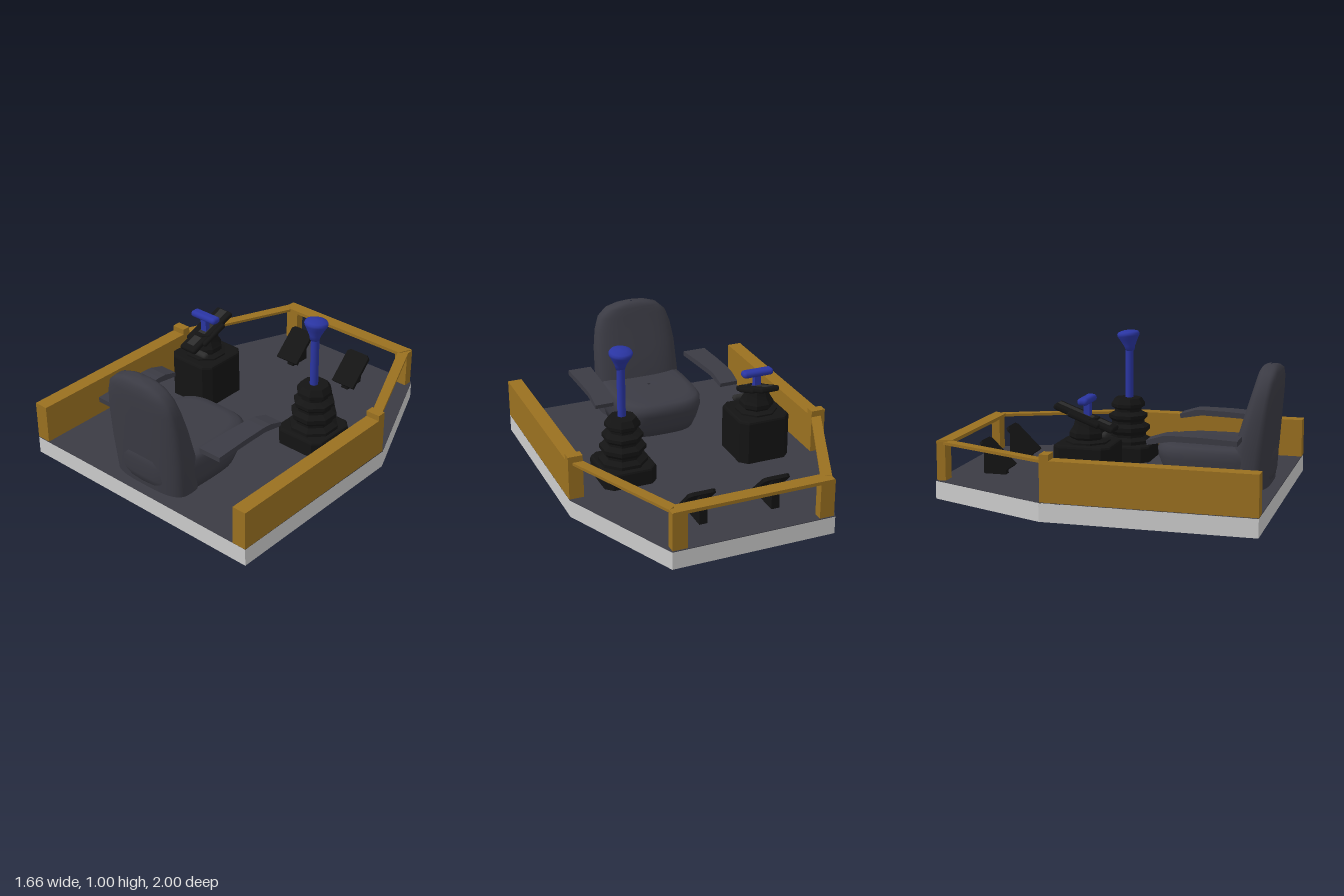
import * as THREE from 'three';
import { RoundedBoxGeometry } from 'three/addons/geometries/RoundedBoxGeometry.js';
import { toCreasedNormals } from 'three/addons/utils/BufferGeometryUtils.js';

const mat = (color) => new THREE.MeshStandardMaterial({ color });
const grey = mat(0xcccccc), gold = mat(0x9a7020), dark = mat(0x3b3b44);
const black = mat(0x141414), charcoal = mat(0x2c2c2c), blue = mat(0x2a35a2);

export function createModel() {
  const model = new THREE.Group();

  const add = (name, geometry, material, x = 0, y = 0, z = 0, tilt = 0) => {
    const mesh = new THREE.Mesh(geometry, material);
    mesh.name = name;
    mesh.position.set(x, y, z);
    mesh.rotation.x = tilt;
    model.add(mesh);
    return mesh;
  };

  // Flat slab from a plan outline of [x, z] points
  const slab = (points, y0, y1, bevel = 0) => {
    const shape = new THREE.Shape(points.map(([x, z]) => new THREE.Vector2(x, -z)));
    const g = new THREE.ExtrudeGeometry(shape, {
      depth: y1 - y0 - 2 * bevel, bevelEnabled: bevel > 0,
      bevelSize: bevel, bevelOffset: -bevel, bevelThickness: bevel, bevelSegments: 2,
    });
    return g.rotateX(-Math.PI / 2).translate(0, y0 + bevel, 0);
  };

  // Side profile of [z, y] points, extruded across x and centred
  const sideProfile = (points, width) => {
    const shape = new THREE.Shape(points.map(([z, y]) => new THREE.Vector2(-z, y)));
    const g = new THREE.ExtrudeGeometry(shape, { depth: width, bevelEnabled: false });
    return g.translate(0, 0, -width / 2).rotateY(Math.PI / 2);
  };

  // Rounded loft; each ring is [y, half width, front z, back z]
  const loft = (rings, power) => {
    const n = 40, pos = [], index = [];
    const round = (v) => Math.sign(v) * Math.abs(v) ** (2 / power);
    rings.forEach(([y, w, z0, z1]) => {
      for (let j = 0; j < n; j++) {
        const a = (j / n) * Math.PI * 2;
        pos.push(w * round(Math.cos(a)), y, (z0 + z1) / 2 + ((z1 - z0) / 2) * round(Math.sin(a)));
      }
    });
    for (let i = 0; i < rings.length - 1; i++) {
      for (let j = 0; j < n; j++) {
        const a = i * n + j, c = i * n + ((j + 1) % n);
        index.push(a, a + n, c, c, a + n, c + n);
      }
    }
    const g = new THREE.BufferGeometry();
    g.setAttribute('position', new THREE.Float32BufferAttribute(pos, 3));
    g.setIndex(index);
    g.computeVertexNormals();
    return g;
  };

  const lathe = (points, sides) =>
    new THREE.LatheGeometry(points.map(([r, y]) => new THREE.Vector2(r, y)), sides);

  // Platform and floor covering
  const plan = [[-0.83, 1], [0.83, 1], [0.83, -0.24], [0.5, -1], [-0.5, -1], [-0.83, -0.24]];
  add('platform', slab(plan, 0.065, 0.174), grey);
  add('floor', slab(plan, 0.172, 0.177), dark);

  // Side walls, posts and rails
  for (const s of [-1, 1]) {
    add('sideWall', new THREE.BoxGeometry(0.09, 0.24, 1.235), gold, s * 0.785, 0.295, 0.3825);
    add('wallPost', new THREE.BoxGeometry(0.09, 0.275, 0.055), gold, s * 0.785, 0.3125, -0.2075);
    add('frontPost', new THREE.BoxGeometry(0.09, 0.235, 0.055), gold, s * 0.45, 0.2925, -0.965);
    const rail = [[0.74, -0.23], [0.805, -0.23], [0.495, -0.95], [0.44, -0.91]];
    add('sideRail', slab(rail.map(([x, z]) => [s * x, z]), 0.395, 0.412), gold);
  }
  add('frontRail', slab([[-0.45, -0.91], [0.45, -0.91], [0.49, -0.995], [-0.49, -0.995]], 0.394, 0.415), gold);

  // Seat
  add('seatCushion', loft([
    [0.176, 0.01, 0.6, 0.62], [0.176, 0.25, 0.34, 0.93], [0.25, 0.27, 0.3, 0.95],
    [0.34, 0.283, 0.265, 0.955], [0.385, 0.28, 0.262, 0.955], [0.41, 0.262, 0.29, 0.94],
    [0.42, 0.22, 0.34, 0.9], [0.415, 0.01, 0.6, 0.62],
  ], 3.4), dark);
  add('seatBack', loft([
    [0.176, 0.265, 0.7, 0.935], [0.4, 0.278, 0.725, 0.955], [0.6, 0.272, 0.785, 0.968],
    [0.72, 0.255, 0.822, 0.977], [0.8, 0.228, 0.845, 0.981], [0.85, 0.175, 0.858, 0.978],
    [0.872, 0.11, 0.87, 0.962], [0.882, 0.05, 0.885, 0.945], [0.884, 0.005, 0.91, 0.92],
  ], 3.2), dark);

  // Armrests, inner edge widening towards the back
  for (const s of [-1, 1]) {
    const g = sideProfile([
      [0.81, 0.48], [0.6, 0.485], [0.43, 0.488], [0.29, 0.462],
      [0.285, 0.488], [0.38, 0.518], [0.43, 0.522], [0.6, 0.52], [0.81, 0.51],
    ], 0.14);
    const p = g.attributes.position;
    for (let i = 0; i < p.count; i++) {
      const inner = 0.36 - ((p.getZ(i) - 0.28) / 0.53) * 0.033;
      p.setX(i, p.getX(i) * s > 0 ? s * 0.477 : s * inner);
    }
    g.computeVertexNormals();
    add('armrest', g, dark);
  }

  // Control pedestals with cut corners
  const footprint = (cx) => {
    const w = 0.165, d = 0.17, c = 0.045;
    return [[-w + c, d], [w - c, d], [w, d - c], [w, c - d], [w - c, -d], [c - w, -d], [-w, c - d], [-w, d - c]]
      .map(([x, z]) => [x + cx, z - 0.07]);
  };
  add('leverBase', slab(footprint(0.435), 0, 0.28, 0.015), black);
  add('controlPedestal', slab(footprint(-0.435), 0, 0.455, 0.015), black);

  // Lever with bellows boot
  const boot = lathe([
    [0.15, 0.27], [0.15, 0.3], [0.115, 0.32], [0.115, 0.335], [0.14, 0.36], [0.14, 0.385],
    [0.105, 0.405], [0.105, 0.42], [0.125, 0.44], [0.125, 0.46], [0.085, 0.48], [0.085, 0.495],
    [0.108, 0.51], [0.108, 0.53], [0.085, 0.565], [0, 0.57],
  ], 8).rotateY(Math.PI / 8);
  add('leverBoot', toCreasedNormals(boot, 0.4), black, 0.435, 0, -0.07);
  add('leverStick', new THREE.CylinderGeometry(0.025, 0.025, 0.36, 20), blue, 0.435, 0.73, -0.063);
  add('leverKnob', lathe([
    [0, -0.07], [0.027, -0.07], [0.035, -0.04], [0.055, 0], [0.069, 0.025],
    [0.071, 0.038], [0.064, 0.05], [0.035, 0.06], [0, 0.063],
  ], 24), blue, 0.435, 0.935, -0.066, -0.12);

  // Tilting control head with crossbar handle
  const headBoot = lathe([
    [0.13, 0.45], [0.13, 0.465], [0.09, 0.475], [0.105, 0.49], [0.105, 0.515],
    [0.08, 0.555], [0.07, 0.6], [0, 0.6],
  ], 8).rotateY(Math.PI / 8);
  add('headBoot', toCreasedNormals(headBoot, 0.4), black, -0.44, 0, -0.07);
  add('controlPlate', new RoundedBoxGeometry(0.125, 0.036, 0.38, 3, 0.015), black, -0.44, 0.597, -0.08, 0.36);
  add('plateMiddle', new RoundedBoxGeometry(0.165, 0.032, 0.2, 3, 0.014), black, -0.44, 0.592, -0.075, 0.36);
  add('plateStrip', new THREE.BoxGeometry(0.055, 0.006, 0.33), charcoal, -0.44, 0.617, -0.087, 0.36);
  add('platePad', new RoundedBoxGeometry(0.15, 0.035, 0.04, 3, 0.016), charcoal, -0.405, 0.5, 0.035);
  add('handleStem', new THREE.BoxGeometry(0.042, 0.12, 0.036), blue, -0.44, 0.645, -0.07);
  add('handleBar', new RoundedBoxGeometry(0.2, 0.042, 0.065, 4, 0.02), blue, -0.44, 0.699, -0.073);

  // Foot pedals
  for (const s of [-1, 1]) {
    add('pedalSupport', sideProfile([[-0.65, 0], [-0.79, 0], [-0.79, 0.37], [-0.65, 0.235]], 0.05),
      black, s * 0.225);
    const pad = new THREE.Shape([[-0.083, -0.117], [0.083, -0.117], [0.083, 0.1], [0.062, 0.117], [-0.062, 0.117], [-0.083, 0.1]]
      .map(([x, y]) => new THREE.Vector2(x, y)));
    const g = new THREE.ExtrudeGeometry(pad, { depth: 0.022, bevelEnabled: false });
    g.translate(0, 0, -0.011).rotateX(-Math.PI / 2);
    add('pedalPlate', g, black, s * 0.23, 0.3, -0.708, 0.77);
  }

  return model;
}
